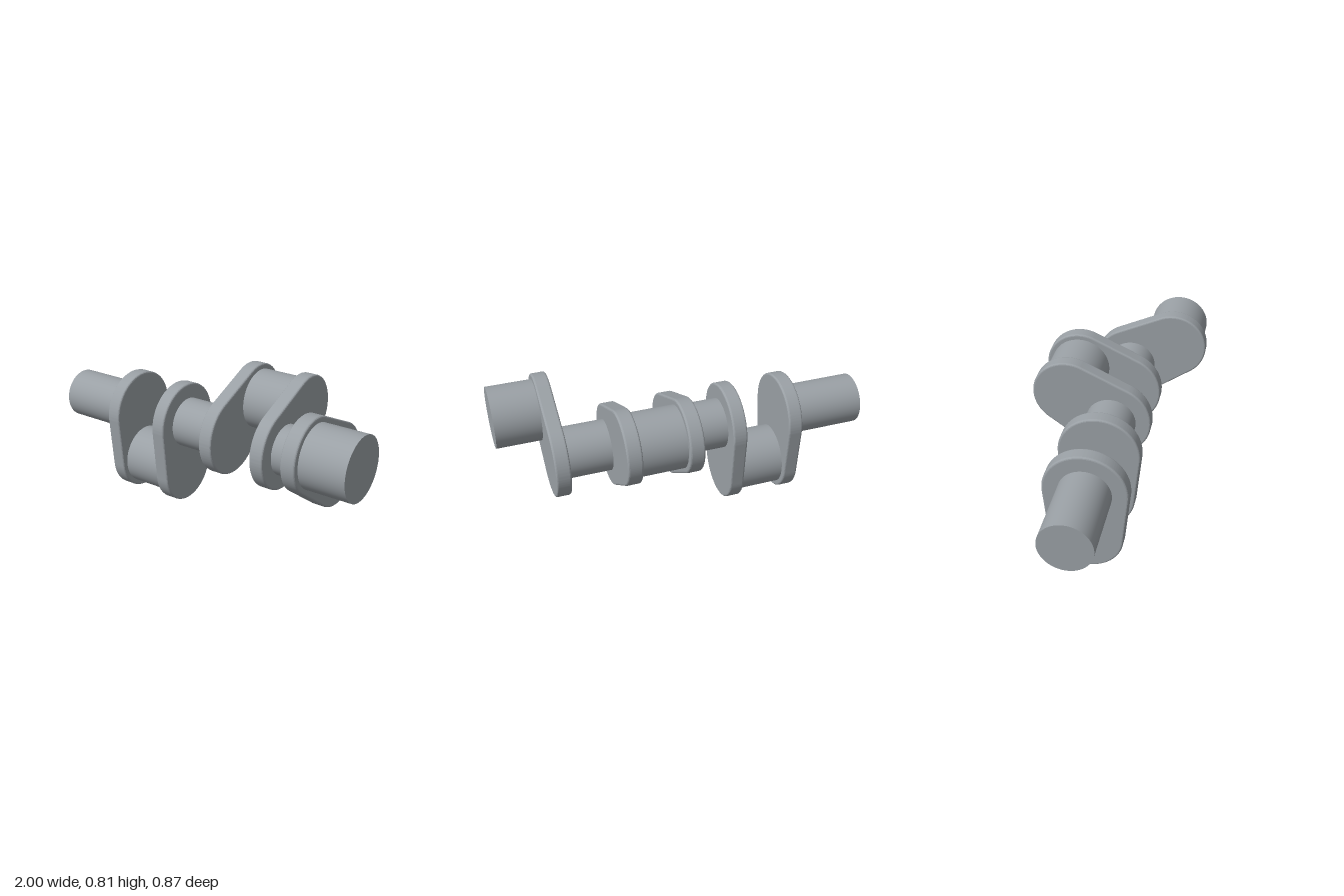
import * as THREE from 'three';
import { toCreasedNormals } from 'three/addons/utils/BufferGeometryUtils.js';

const AXIS_Y = 0.475, THROW = 0.279;
const MAIN_R = 0.138, PIN_R = 0.166;
const WEB_BIG = 0.221, WEB_SMALL = 0.195, WEB_T = 0.08, BEVEL = 0.01;

export function createModel() {
  const group = new THREE.Group();
  const steel = new THREE.MeshStandardMaterial({ color: 0x9aa0a5 });
  steel.name = 'steel grey';

  const add = (geometry, name, x, y, z) => {
    const mesh = new THREE.Mesh(geometry, steel);
    mesh.name = name;
    mesh.position.set(x, y, z);
    group.add(mesh);
  };

  // Round bar along x between x0 and x1
  const bar = (name, x0, x1, radius, y, z) => {
    const g = new THREE.CylinderGeometry(radius, radius, x1 - x0, 96);
    g.rotateZ(-Math.PI / 2);
    add(g, name, (x0 + x1) / 2, y, z);
  };

  // Throw angle a is seen from +x: 0 points to the back, 90 degrees up
  const pin = (name, x0, x1, a) =>
    bar(name, x0, x1, PIN_R, AXIS_Y + THROW * Math.sin(a), -THROW * Math.cos(a));

  // Web: tangent hull of a large circle on the axis and a smaller one on the pin
  const web = (name, x, a) => {
    const phi = Math.acos((WEB_BIG - WEB_SMALL) / THROW);
    const shape = new THREE.Shape();
    shape.absarc(0, 0, WEB_BIG, a + phi, a + 2 * Math.PI - phi, false);
    shape.absarc(THROW * Math.cos(a), THROW * Math.sin(a), WEB_SMALL, a - phi, a + phi, false);
    const g = new THREE.ExtrudeGeometry(shape, {
      depth: WEB_T - 2 * BEVEL, curveSegments: 56, bevelEnabled: true,
      bevelThickness: BEVEL, bevelSize: BEVEL, bevelOffset: -BEVEL, bevelSegments: 3,
    });
    g.translate(0, 0, -WEB_T / 2 + BEVEL);
    g.rotateY(Math.PI / 2);
    add(toCreasedNormals(g, 0.2), name, x, AXIS_Y, 0);
  };

  const down = -Math.PI / 2, back = Math.PI / 6, front = Math.PI * 5 / 6;

  // Main journals on the shaft axis
  [[-1, -0.6], [-0.21, 0.04], [0.43, 0.68]].forEach(([x0, x1], i) =>
    bar('mainJournal' + (i + 1), x0, x1, MAIN_R, AXIS_Y, 0));

  // Crank pins, 120 degrees apart
  pin('crankPin1', -0.53, -0.28, down);
  pin('crankPin2', 0.11, 0.36, back);
  pin('crankPin3', 0.75, 1, front);

  // Crank webs
  [[-0.565, down], [-0.243, down], [0.077, back], [0.398, back], [0.716, front]]
    .forEach(([x, a], i) => web('crankWeb' + (i + 1), x, a));

  return group;
}
